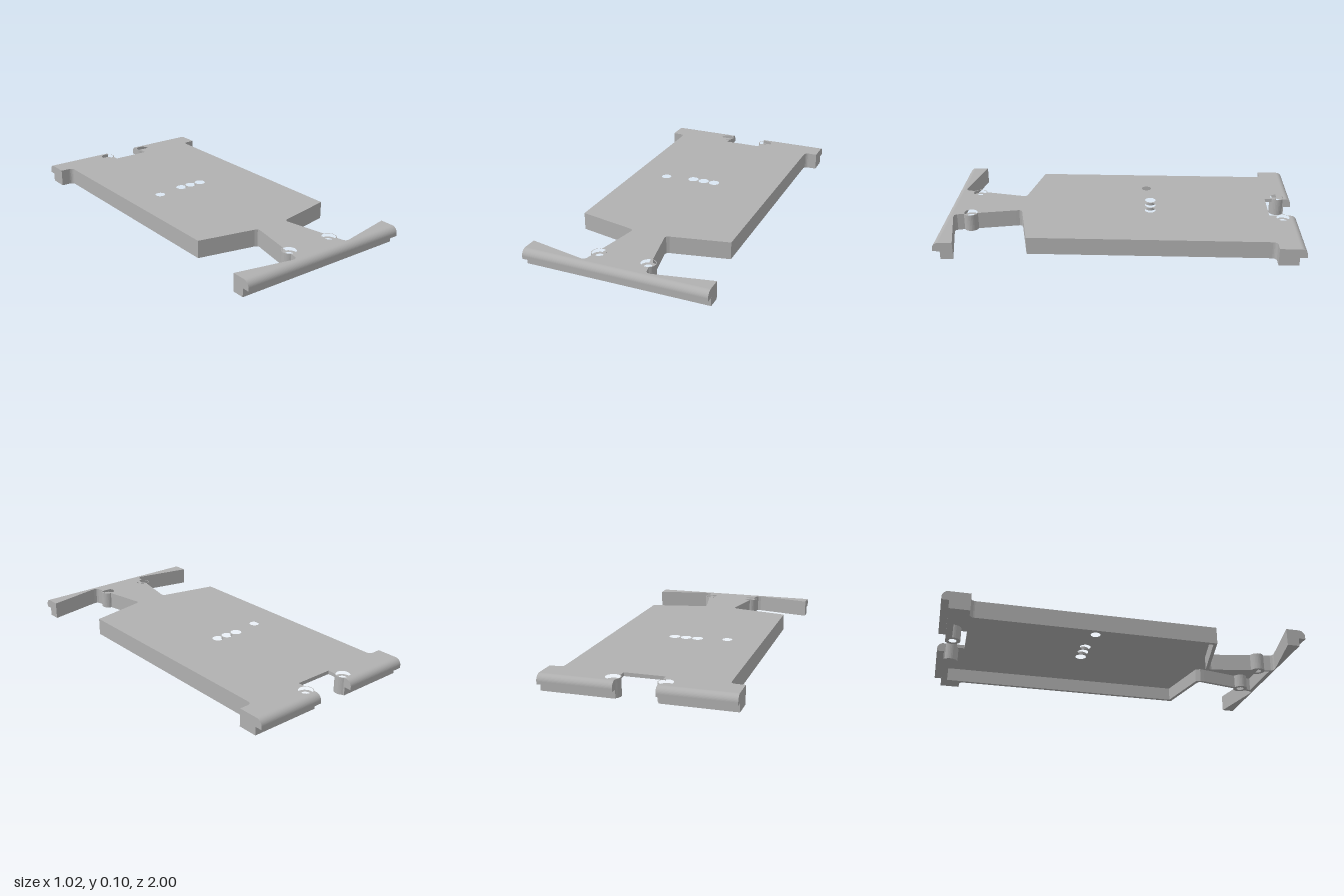
import * as THREE from 'three';

const TOP = 0.098, SKIN = 0.02, BOSS_R = 0.042, BORE_R = 0.038, HOLE_R = 0.022;
const REAR = [0.137, -0.92], FRONT = [0.137, 0.865]; // screw bosses as [x, z]

// points of an arc in the x-z plane, angles in degrees
function arc([cx, cz], r, from, to, steps = 12) {
  return Array.from({ length: steps + 1 }, (_, i) => {
    const a = THREE.MathUtils.degToRad(from + (to - from) * i / steps);
    return [cx + r * Math.cos(a), cz + r * Math.sin(a)];
  });
}
const mirror = (pts) => pts.map(([x, z]) => [-x, z]).reverse();

// upright slab from a plan outline with round holes [x, z, r]
function slab(pts, holes, y0, y1) {
  const shape = new THREE.Shape(pts.map(([x, z]) => new THREE.Vector2(x, -z)));
  for (const [x, z, r] of holes) {
    shape.holes.push(new THREE.Path().absarc(x, -z, r, 0, Math.PI * 2, true));
  }
  const geo = new THREE.ExtrudeGeometry(shape, { depth: y1 - y0, bevelEnabled: false, curveSegments: 16 });
  return geo.rotateX(-Math.PI / 2).translate(0, y0, 0);
}

// bosses on both sides, as holes of a given radius
const bossHoles = (r) => [REAR, FRONT].flatMap(([x, z]) => [[x, z, r], [-x, z, r]]);

export function createModel() {
  const group = new THREE.Group();
  const grey = new THREE.MeshStandardMaterial({ color: 0xb0b0b0 });
  grey.name = 'grey plastic';
  const add = (name, geo) => {
    const mesh = new THREE.Mesh(geo, grey);
    mesh.name = name;
    group.add(mesh);
  };

  // outer edge of one side, from the rear notch to the front bar
  const outer = [
    [0.11, -0.96], [0.51, -0.96], [0.51, -0.85],
    ...arc([0.46, -0.825], 0.025, 270, 180, 5),
    [0.435, 0.505], [0.115, 0.572],
    [0.1, 0.58], [0.096, 0.592], [0.1, 0.61],
    ...arc(FRONT, BOSS_R, -83, 61),
    [0.165, 0.94], [0.173, 0.952], [0.19, 0.955],
    [0.51, 0.89], [0.51, 0.96],
  ];
  // inner face of the rim on the same side, from front to rear
  const inner = [
    [0.145, 0.935],
    ...arc(FRONT, BOSS_R, 85, 251),
    [0.08, 0.61], [0.076, 0.585], [0.09, 0.558],
    [0.415, 0.489], [0.415, -0.925],
    ...arc(REAR, BOSS_R, -7, 230, 18),
  ];
  // rear notch edge with the boss bulging into it
  const notch = [[0.11, -0.845], ...arc(REAR, BOSS_R, 130, 230)];

  // top plate with counterbores and through holes
  const side = [...notch, ...outer];
  add('topPlate', slab([...side, ...mirror(side)], [
    ...bossHoles(BORE_R),
    [-0.235, -0.14, 0.028],
    ...[-0.068, 0, 0.068].map((x) => [x, -0.165, 0.031]),
  ], TOP - SKIN, TOP));

  // rim and bosses below the plate, open at the notch
  add('rimAndBosses', slab(
    [...outer, ...mirror(outer), ...mirror(inner), ...inner],
    bossHoles(HOLE_R), 0, TOP - SKIN));

  // overhanging lips with a rounded upper edge
  const lip = (length) => {
    const s = new THREE.Shape();
    s.moveTo(0.96, 0.047);
    s.lineTo(1, 0.047);
    s.lineTo(1, TOP - 0.035);
    s.absarc(0.965, TOP - 0.035, 0.035, 0, Math.PI / 2, false);
    s.lineTo(0.96, TOP);
    return new THREE.ExtrudeGeometry(s, { depth: length, bevelEnabled: false, curveSegments: 10 })
      .translate(0, 0, -length / 2);
  };
  add('frontLip', lip(1.02).rotateY(-Math.PI / 2));
  for (const [name, sx] of [['leftRearLip', 1], ['rightRearLip', -1]]) {
    add(name, lip(0.4).rotateY(Math.PI / 2).translate(sx * 0.31, 0, 0));
  }
  return group;
}
